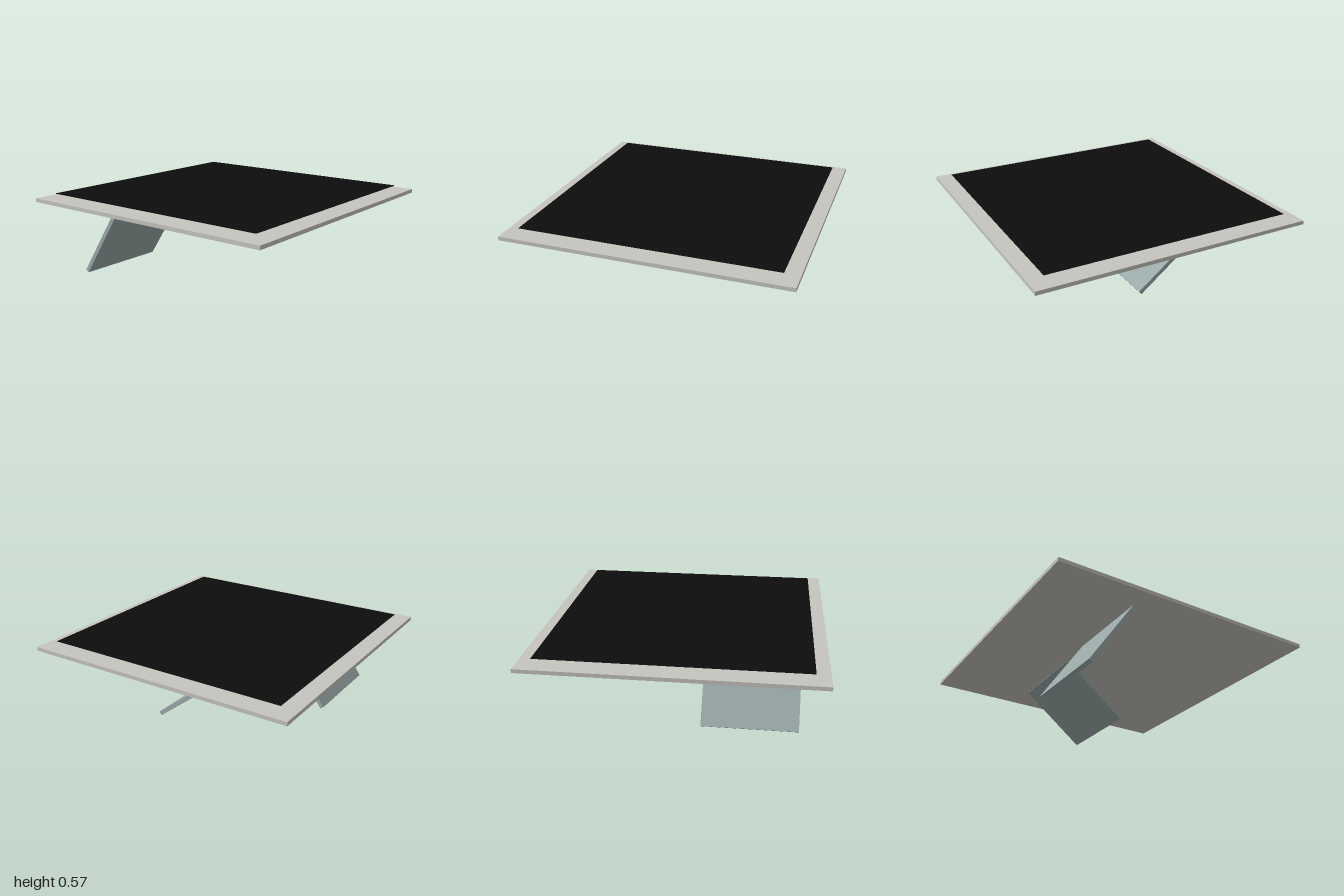
import * as THREE from 'three';

const mat = (name, color, side = THREE.FrontSide) => {
  const m = new THREE.MeshStandardMaterial({ color, side });
  m.name = name;
  return m;
};

export function createModel() {
  const group = new THREE.Group();
  const stone = mat('pale stone', 0xc6c4be);
  const black = mat('black', 0x0d0d0d, THREE.DoubleSide);
  const slate = mat('grey green', 0x99a9a8);

  const add = (name, geometry, material, x, y, z) => {
    const mesh = new THREE.Mesh(geometry, material);
    mesh.name = name;
    mesh.position.set(x, y, z);
    group.add(mesh);
    return mesh;
  };

  // square slab
  add('slab', new THREE.BoxGeometry(2, 0.027, 2), stone, 0, 0.5215, 0);

  // thin sheet hovering just above the slab
  const sheet = new THREE.PlaneGeometry(1.806, 1.806).rotateX(-Math.PI / 2);
  add('topSheet', sheet, black, 0, 0.567, 0);

  // slanted panels hung below, each running from a top (y, z) to a bottom (y, z)
  const panel = (name, x, [y0, z0], [y1, z1]) => {
    const dy = y0 - y1, dz = z0 - z1;
    const geometry = new THREE.BoxGeometry(0.666, Math.hypot(dy, dz), 0.03);
    const mesh = add(name, geometry, slate, x, (y0 + y1) / 2, (z0 + z1) / 2);
    mesh.rotation.x = Math.atan2(dz, dy);
  };
  panel('rightPanel', -0.503, [0.503, -0.335], [0.0085, -0.668]);
  panel('leftPanel', 0.397, [0.503, -0.335], [0.137, 0.136]);

  return group;
}
